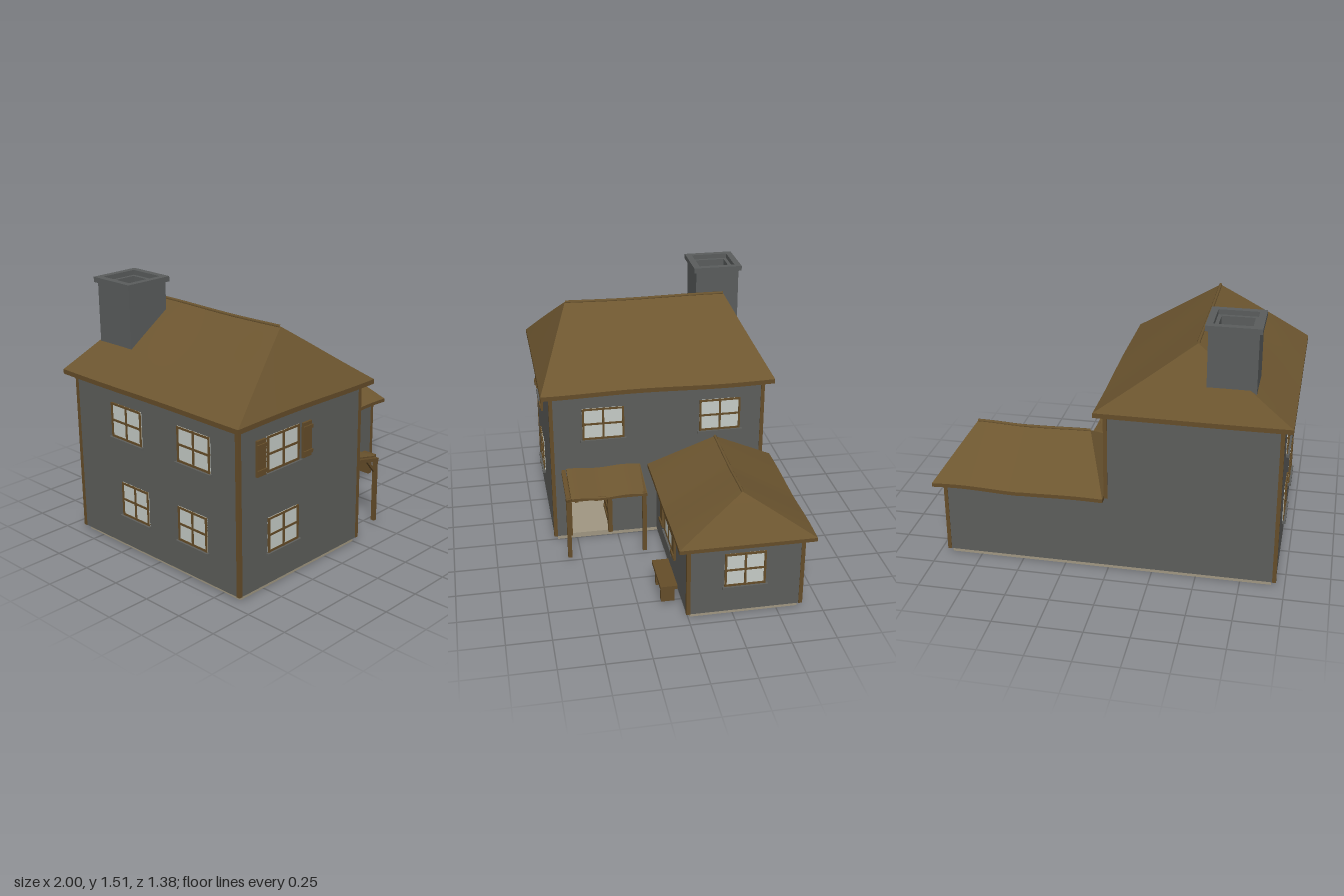
import * as THREE from 'three';

const mat = (name, color, extra = {}) => {
  const m = new THREE.MeshStandardMaterial({ color, ...extra });
  m.name = name;
  return m;
};

export function createModel() {
  const root = new THREE.Group();
  root.name = 'house';
  const wall = mat('grey plaster', 0x5d5e5b);
  const chimneyGrey = mat('chimney stone', 0x5a5d5d);
  const thatch = mat('thatch', 0x6d5630);
  const wood = mat('wood', 0x654d29);
  const glass = mat('pale glass', 0xc6ccc7);
  const stone = mat('foundation stone', 0xa09782);
  const lining = mat('inner plaster', 0xa09782, { side: THREE.BackSide });

  const add = (parent, name, geo, m) => {
    const mesh = new THREE.Mesh(geo, m);
    mesh.name = name;
    parent.add(mesh);
    return mesh;
  };
  // Box given by its limits on each axis
  const box = (parent, name, m, x0, x1, y0, y1, z0, z1) => {
    const mesh = add(parent, name, new THREE.BoxGeometry(x1 - x0, y1 - y0, z1 - z0), m);
    mesh.position.set((x0 + x1) / 2, (y0 + y1) / 2, (z0 + z1) / 2);
    return mesh;
  };
  const group = (name, parent = root) => {
    const g = new THREE.Group();
    g.name = name;
    parent.add(g);
    return g;
  };

  // Foundation
  box(root, 'mainFoundation', stone, -0.925, 0, 0, 0.032, -0.62, 0.62);
  box(root, 'wingFoundation', stone, 0, 0.925, 0, 0.032, -0.62, -0.01);

  // Main walls, hollow so the room shows through the doorway
  const walls = group('mainWalls');
  box(walls, 'frontWall', wall, -0.95, 0.015, 0.03, 0.97, 0.62, 0.64);
  box(walls, 'backWall', wall, -0.95, 0.015, 0.03, 0.97, -0.64, -0.62);
  box(walls, 'leftWall', wall, -0.95, -0.93, 0.03, 0.97, -0.62, 0.62);
  box(walls, 'rightWallUpper', wall, -0.005, 0.015, 0.43, 0.97, -0.62, 0.62);
  box(walls, 'rightWallFront', wall, -0.005, 0.015, 0.03, 0.43, 0.545, 0.62);
  box(walls, 'rightWallBack', wall, -0.005, 0.015, 0.03, 0.43, -0.62, 0.295);
  box(walls, 'wingWalls', wall, 0.015, 0.945, 0.03, 0.46, -0.64, 0.01);
  box(root, 'room', lining, -0.928, -0.006, 0.033, 0.45, -0.618, 0.618);
  box(root, 'roomSkirting', wall, -0.928, -0.92, 0.034, 0.14, -0.6, 0.6);

  // Timber corner posts and wall plates
  const timbers = group('timbers');
  const post = (x, z, top) => box(timbers, 'cornerPost', wood, x - 0.011, x + 0.011, 0.03, top, z - 0.011, z + 0.011);
  for (const z of [-0.632, 0.632]) post(-0.942, z, 0.97);
  post(0.008, 0.632, 0.97);
  for (const z of [-0.632, 0.002]) post(0.937, z, 0.46);
  box(timbers, 'cornerPost', wood, -0.003, 0.019, 0.46, 0.97, -0.643, -0.621);
  box(timbers, 'mainWallPlate', wood, -0.954, 0.019, 0.958, 0.975, -0.644, 0.644);
  box(timbers, 'wingWallPlate', wood, 0.02, 0.949, 0.45, 0.465, -0.644, 0.014);

  // Surface patch from a rule P(u, v)
  const patch = (P, nu, nv) => {
    const pos = [], idx = [];
    for (let j = 0; j <= nv; j++) for (let i = 0; i <= nu; i++) pos.push(...P(i / nu, j / nv).toArray());
    for (let j = 0; j < nv; j++) for (let i = 0; i < nu; i++) {
      const a = j * (nu + 1) + i, c = a + nu + 1;
      idx.push(a, a + 1, c, a + 1, c + 1, c);
    }
    const g = new THREE.BufferGeometry();
    g.setAttribute('position', new THREE.Float32BufferAttribute(pos, 3));
    g.setIndex(idx);
    g.computeVertexNormals();
    return g;
  };

  // Hipped thatch roof: four wavy slopes, eave edges, soffit and ridge roll
  const hipRoof = (name, x0, x1, z0, z1, y0, yEave, tops, ridge, wave) => {
    const g = group(name);
    const corners = [[x0, z1], [x1, z1], [x1, z0], [x0, z0]].map(([x, z]) => new THREE.Vector3(x, yEave, z));
    const waved = (p) => p.setY(p.y + wave(p.x, p.z));
    for (let i = 0; i < 4; i++) {
      const k = (i + 1) % 4;
      const low = (u) => corners[i].clone().lerp(corners[k], u);
      const high = (u) => tops[i].clone().lerp(tops[k], u);
      add(g, 'slope', patch((u, v) => waved(low(u).lerp(high(u), v)), 20, 8), thatch);
      add(g, 'eaveEdge', patch((u, v) => {
        const p = waved(low(u));
        return p.setY(p.y - (1 - v) * (yEave - y0));
      }, 20, 1), wood);
    }
    box(g, 'soffit', wood, x0 + 0.002, x1 - 0.002, y0 + 0.006, y0 + 0.012, z0 + 0.002, z1 - 0.002);
    const pts = [];
    for (let i = 0; i <= 8; i++) pts.push(waved(ridge[0].clone().lerp(ridge[1], i / 8)));
    add(g, 'ridgeRoll', new THREE.TubeGeometry(new THREE.CatmullRomCurve3(pts), 24, 0.009, 6), thatch);
  };
  const V = (x, y, z) => new THREE.Vector3(x, y, z);
  const mf = V(-0.465, 1.36, 0.48), mb = V(-0.465, 1.355, -0.49);
  hipRoof('mainRoof', -0.998, 0.065, -0.69, 0.69, 0.968, 0.995, [mf, mf, mb, mb], [mf, mb],
    (x, z) => 0.005 * Math.sin(6 * z + 0.8) * Math.cos(5 * x));
  const wl = V(0.165, 0.706, -0.31), wr = V(0.835, 0.706, -0.31);
  hipRoof('wingRoof', 0.016, 0.998, -0.69, 0.065, 0.458, 0.48, [wl, wr, wr, wl], [wl, wr],
    (x) => 0.007 * Math.cos(9.4 * (x - 0.165)) * (x > 0.5 ? 0.8 : 0.5) - 0.003);

  // Square tube extruded upward
  const ring = (parent, name, outer, inner, y0, y1) => {
    const sq = (r, P) => new P().moveTo(-r, -r).lineTo(r, -r).lineTo(r, r).lineTo(-r, r).closePath();
    const s = sq(outer, THREE.Shape);
    s.holes.push(sq(inner, THREE.Path));
    const geo = new THREE.ExtrudeGeometry(s, { depth: y1 - y0, bevelEnabled: false });
    geo.rotateX(-Math.PI / 2);
    add(parent, name, geo, chimneyGrey).position.y = y0;
  };
  const chimney = group('chimney');
  chimney.position.set(-0.66, 0, -0.468);
  ring(chimney, 'chimneyStack', 0.132, 0.09, 1.0, 1.478);
  ring(chimney, 'chimneyCap', 0.148, 0.11, 1.476, 1.506);

  // Window facing +z before turning: glass, frame, crossbars, sill, shutters
  const windowAt = (x, y, z, turn, w, h, shutters) => {
    const g = group('window');
    g.position.set(x, y, z);
    g.rotation.y = turn;
    const a = w / 2, b = h / 2, t = 0.012;
    box(g, 'glass', glass, -a, a, -b, b, 0, 0.004);
    for (const s of [-1, 0, 1]) {
      const cx = s * (a - t / 2), cy = s * (b - t / 2);
      box(g, 'upright', wood, cx - t / 2, cx + t / 2, -b, b, 0, 0.009);
      box(g, 'crossbar', wood, -a, a, cy - t / 2, cy + t / 2, 0, 0.008);
    }
    box(g, 'sill', wall, -a - 0.012, a + 0.012, -b - 0.016, -b, 0, 0.02);
    if (!shutters) return;
    for (const s of [-1, 1]) {
      const c = s * (a + 0.053);
      box(g, 'shutter', wood, c - 0.033, c + 0.033, -b + 0.002, b, 0.004, 0.018);
      for (const y2 of [-0.7, 0.7]) box(g, 'shutterBatten', wood, c - 0.036, c + 0.036, y2 * b - 0.01, y2 * b + 0.01, 0.018, 0.026);
    }
  };
  const Q = Math.PI / 2;
  windowAt(-0.622, 0.775, 0.64, 0, 0.245, 0.2, true);
  windowAt(-0.62, 0.315, 0.64, 0, 0.235, 0.2, false);
  windowAt(0.445, 0.295, 0.01, 0, 0.25, 0.205, true);
  windowAt(0.945, 0.295, -0.31, Q, 0.23, 0.205, false);
  for (const z of [0.327, -0.372]) windowAt(0.015, 0.775, z, Q, 0.248, 0.2, false);
  for (const z of [0.32, -0.21]) windowAt(-0.95, 0.775, z, -Q, 0.245, 0.2, false);
  for (const z of [0.3, -0.16]) {
    windowAt(-0.95, 0.315, z, -Q, 0.22, 0.2, false);
    windowAt(-0.926, 0.315, z, Q, 0.22, 0.2, false);
  }

  // Doorway with the door swung inward
  const door = group('doorway');
  for (const z of [0.543, 0.297]) box(door, 'doorJamb', wood, -0.012, 0.024, 0.03, 0.43, z - 0.013, z + 0.013);
  box(door, 'lintel', wood, -0.012, 0.024, 0.42, 0.44, 0.284, 0.556);
  box(door, 'doorLeaf', wood, -0.24, -0.01, 0.035, 0.42, 0.288, 0.3);
  for (let i = 0; i < 5; i++) box(door, 'doorBatten', wood, -0.23, -0.02, 0.07 + i * 0.075, 0.09 + i * 0.075, 0.3, 0.307);

  // Porch with sloping roof, posts and braces
  const porch = group('porch');
  const slab = (y) => (u, v) => V(0.015 + 0.262 * u, y + 0.486 - 0.06 * u + 0.005 * Math.sin(9 * v + 1), 0.555 - 0.445 * v);
  const top = slab(0), under = slab(-0.014);
  add(porch, 'porchRoof', patch(top, 4, 14), thatch);
  add(porch, 'porchRoofUnderside', patch((u, v) => under(1 - u, v), 4, 14), wood);
  add(porch, 'porchRoofEdge', patch((u, v) => under(1, u).lerp(top(1, u), v), 14, 1), wood);
  add(porch, 'porchRoofFrontEdge', patch((u, v) => under(u, 0).lerp(top(u, 0), v), 4, 1), wood);
  add(porch, 'porchRoofBackEdge', patch((u, v) => under(1 - u, 1).lerp(top(1 - u, 1), v), 4, 1), wood);
  box(porch, 'porchBeam', wood, 0.243, 0.265, 0.405, 0.425, 0.115, 0.585);
  for (const z of [0.572, 0.125]) {
    box(porch, 'porchPost', wood, 0.245, 0.265, 0.03, 0.43, z - 0.012, z + 0.012);
    const rafter = box(porch, 'rafter', wood, 0.01, 0.275, 0.435, 0.455, z - 0.012, z + 0.012);
    rafter.rotation.z = -0.22;
    const brace = box(porch, 'brace', wood, 0.15, 0.265, 0.388, 0.402, z - 0.008, z + 0.008);
    brace.rotation.z = -0.88;
  }

  // Bench by the wing and table with a bowl in the room
  const bench = group('bench');
  box(bench, 'benchSeat', wood, 0.56, 0.835, 0.128, 0.15, 0.04, 0.135);
  for (const x of [0.62, 0.785]) box(bench, 'benchLeg', wood, x - 0.015, x + 0.015, 0.03, 0.13, 0.05, 0.125);
  const table = group('table');
  box(table, 'tableTop', wood, -0.6, -0.35, 0.165, 0.19, 0.312, 0.485);
  for (const x of [-0.58, -0.37]) for (const z of [0.335, 0.463])
    box(table, 'tableLeg', wood, x - 0.011, x + 0.011, 0.033, 0.167, z - 0.011, z + 0.011);
  const bowl = add(table, 'bowl', new THREE.CylinderGeometry(0.05, 0.025, 0.03, 12), wood);
  bowl.position.set(-0.475, 0.205, 0.4);
  return root;
}
